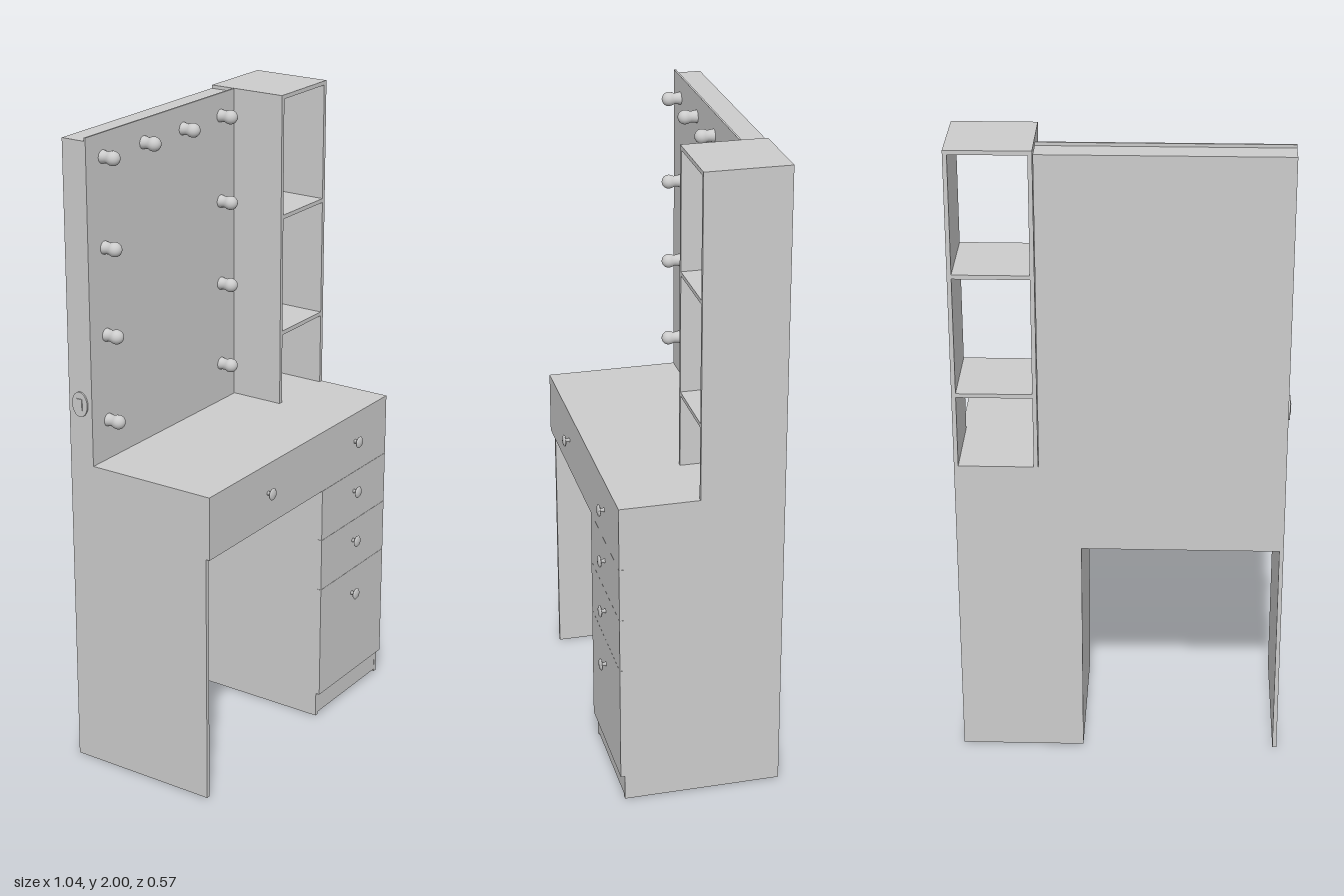
import * as THREE from 'three';

const T = 0.013;            // board thickness
const X = 0.501, Z = 0.252; // half width, half depth
const FZ = Z - T;           // front of the carcass, behind the drawer fronts
const PX = 0.118;           // inner edge of the drawer pedestal
const TX = 0.247;           // inner edge of the shelf tower

export function createModel() {
  const root = new THREE.Group();
  root.name = 'dressingTable';
  root.rotation.y = 0.0665;
  const mat = new THREE.MeshStandardMaterial({ color: 0xcccccc });

  const add = (name, geo, x, y, z) => {
    const m = new THREE.Mesh(geo, mat);
    m.name = name;
    m.position.set(x, y, z);
    root.add(m);
    return m;
  };
  // board given by its min and max on each axis
  const board = (name, x0, x1, y0, y1, z0, z1) =>
    add(name, new THREE.BoxGeometry(x1 - x0, y1 - y0, z1 - z0),
      (x0 + x1) / 2, (y0 + y1) / 2, (z0 + z1) / 2);
  // turned part whose axis points to the front
  const lathe = (pts, seg) => new THREE.LatheGeometry(
    pts.map(p => new THREE.Vector2(...p)), seg).rotateX(Math.PI / 2);

  // desk carcass
  board('tabletop', -X, X, 1 - T, 1, -Z, FZ);
  board('legPanel', -X, -X + T, 0, 1 - T, -Z, FZ);
  board('pedestalInnerSide', PX, PX + T, 0, 1 - T, -Z, FZ);
  board('pedestalOuterSide', X - T, X, 0, 1 - T, -Z, FZ);
  board('pedestalBack', PX + T, X - T, 0, 1 - T, -Z, -Z + T);
  board('kickBoard', PX + T, X - T, 0.008, 0.085, FZ - T, FZ - 0.0005);
  board('deskBack', -X + T, PX, 0.72, 1 - T, -Z, -Z + T);
  board('topDrawerBottom', -X + T, PX, 0.803, 0.803 + T, -Z + T, FZ);

  // drawer fronts with a hairline gap, each with a knob
  const knob = lathe([[0, 0], [0.007, 0], [0.005, 0.01], [0.017, 0.014],
    [0.019, 0.017], [0.014, 0.021], [0, 0.022]], 20);
  const g = 0.0008;
  const fronts = [
    [-X, PX, 0.8, 1, 0.905], [PX, X, 0.8, 1, 0.905],
    [PX, X, 0.63, 0.8, 0.733], [PX, X, 0.457, 0.63, 0.56], [PX, X, 0.08, 0.457, 0.372],
  ];
  for (const [x0, x1, y0, y1, ky] of fronts) {
    board('drawerFront', x0, x1, y0 + g, y1, FZ, Z);
    add('drawerKnob', knob, (x0 + x1) / 2, ky, Z);
  }

  // open shelf tower
  const tz = 0.006;
  board('towerInnerSide', TX, TX + T, 1, 2, -Z, tz);
  board('towerOuterSide', X - T, X, 1, 2, -Z, tz);
  for (const y of [1.235, 1.615, 2 - T / 2])
    board('towerShelf', TX + T, X - T, y - T / 2, y + T / 2, -Z, tz);

  // mirror on a shallow box
  const mz = -0.168;
  board('mirrorBox', -X, TX - 0.002, 1, 1.99, -Z, mz - 0.006);
  board('mirror', -X, TX - 0.002, 1, 2, mz - 0.006, mz);

  // bulbs along the top and down both sides
  const bulbPts = [[0.02, 0], [0.018, 0.01], [0.017, 0.02], [0.021, 0.03]];
  for (let i = 0; i <= 8; i++) {
    const a = (i / 8) * Math.PI / 2;
    bulbPts.push([0.022 * Math.cos(a), 0.037 + 0.022 * Math.sin(a)]);
  }
  const bulb = lathe(bulbPts, 24);
  const bx = i => -0.423 + 0.198 * i;
  for (let i = 0; i < 4; i++) add('bulb', bulb, bx(i), 1.93, mz);
  for (const y of [1.66, 1.393, 1.125])
    for (const i of [0, 3]) add('bulb', bulb, bx(i), y, mz);

  // oval switch on the side of the mirror box
  const plate = new THREE.CylinderGeometry(0.028, 0.028, 0.006, 32).rotateZ(Math.PI / 2);
  add('switchPlate', plate, -X - 0.002, 1.19, -0.21).scale.y = 1.4;
  board('switchRocker', -X - 0.008, -X - 0.004, 1.172, 1.208, -0.22, -0.2);

  const group = new THREE.Group();
  group.add(root);
  return group;
}
